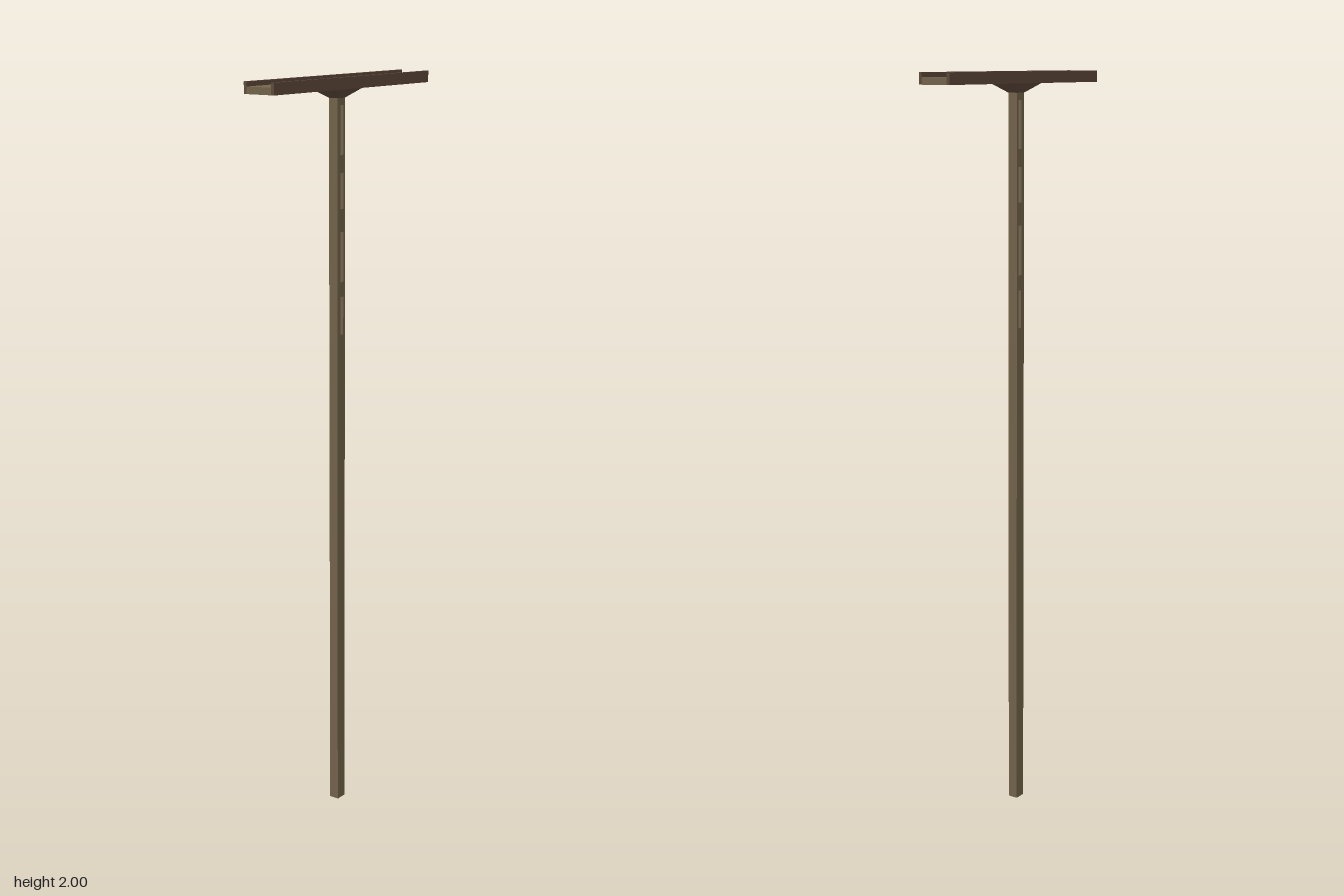
import * as THREE from 'three';

const wood = new THREE.MeshStandardMaterial({ color: 0x75654c, flatShading: true });
const darkWood = new THREE.MeshStandardMaterial({ color: 0x604a3b, flatShading: true });

function box(name, material, w, h, d, x, y, z) {
  const mesh = new THREE.Mesh(new THREE.BoxGeometry(w, h, d), material);
  mesh.name = name;
  mesh.position.set(x, y, z);
  return mesh;
}

function rect(path, z0, y0, z1, y1) {
  path.moveTo(z0, y0);
  path.lineTo(z1, y0);
  path.lineTo(z1, y1);
  path.lineTo(z0, y1);
  path.closePath();
  return path;
}

export function createModel() {
  const group = new THREE.Group();
  group.name = 'slottedPostWithTray';
  const postZ = 0.016, postWidth = 0.027;

  // Square post with four slots cut through from side to side
  const profile = rect(new THREE.Shape(), 0, 0, 0.032, 1.95);
  for (const [low, high] of [[1.335, 1.435], [1.475, 1.605], [1.665, 1.757], [1.803, 1.928]]) {
    profile.holes.push(rect(new THREE.Path(), 0.007, low, 0.02, high));
  }
  const postGeometry = new THREE.ExtrudeGeometry(profile, { depth: postWidth, bevelEnabled: false });
  postGeometry.translate(0, 0, -postWidth / 2).rotateY(-Math.PI / 2);
  const post = new THREE.Mesh(postGeometry, wood);
  post.name = 'post';
  group.add(post);

  // Flared bracket under the tray: a box narrowed at its lower end
  const bracket = box('bracket', darkWood, 0.08, 0.025, 0.12, 0, 1.9585, postZ);
  const p = bracket.geometry.attributes.position;
  for (let i = 0; i < p.count; i++) {
    if (p.getY(i) < 0) p.setXYZ(i, Math.sign(p.getX(i)) * 0.0135, p.getY(i), Math.sign(p.getZ(i)) * 0.016);
  }
  bracket.geometry.computeVertexNormals();
  group.add(bracket);

  // Long tray with a raised rim along each side
  group.add(box('trayFloor', wood, 0.076, 0.018, 0.654, 0, 1.979, 0));
  for (const side of [-1, 1]) {
    group.add(box(side > 0 ? 'leftRim' : 'rightRim', darkWood, 0.009, 0.03, 0.654, side * 0.0425, 1.985, 0));
  }
  return group;
}
